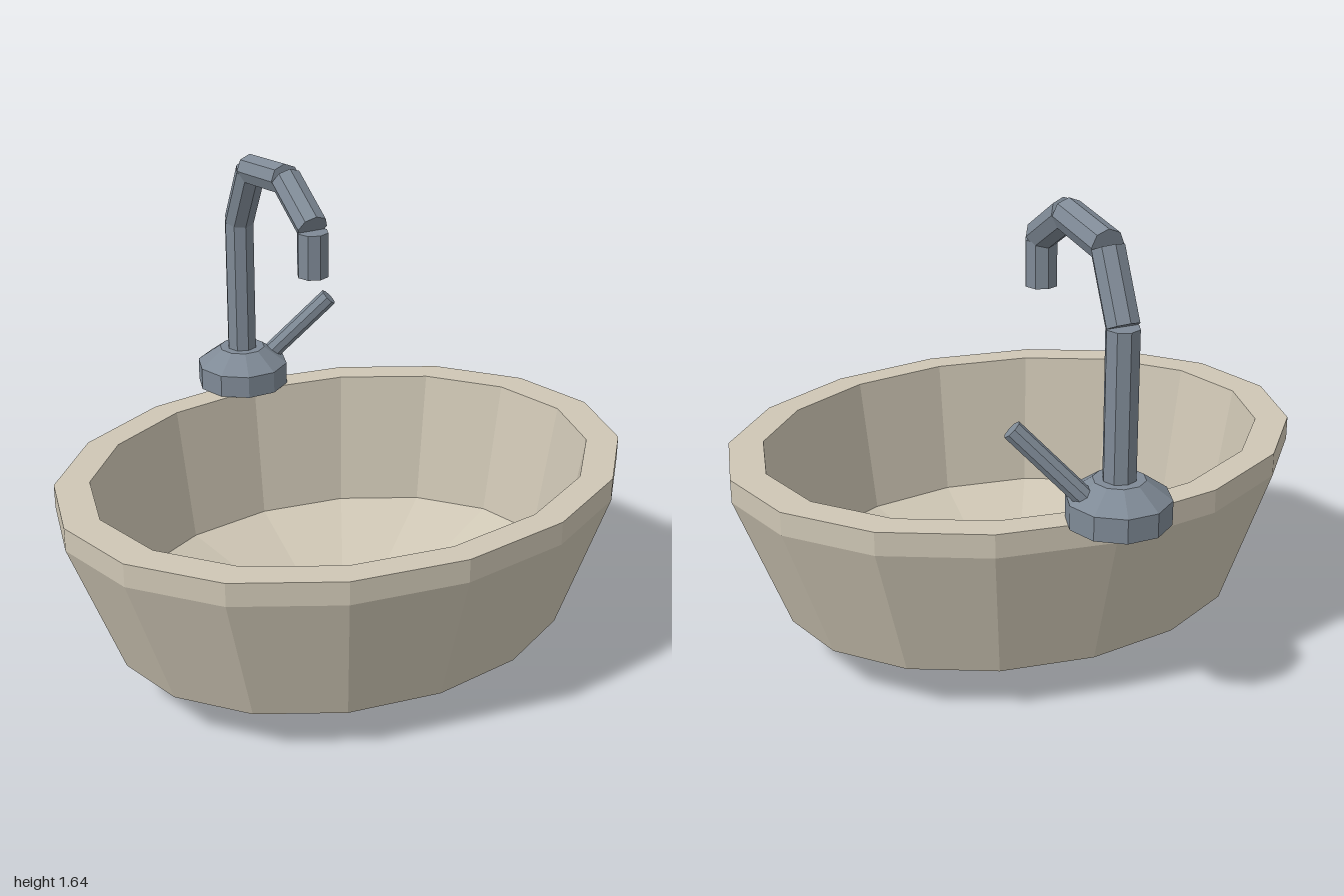
import * as THREE from 'three';

const ceramic = new THREE.MeshStandardMaterial({ color: 0xcfc7b5, flatShading: true });
ceramic.name = 'warm stone';
const metal = new THREE.MeshStandardMaterial({ color: 0x7f8a96, flatShading: true });
metal.name = 'blue grey metal';

const BASIN_Z = 0.08, TAP_Z = -0.7;

function add(parent, name, geometry, material) {
  const mesh = new THREE.Mesh(geometry, material);
  mesh.name = name;
  parent.add(mesh);
  return mesh;
}

// Ten-sided disc with corners on the x axis, standing on y
function disc(parent, name, rTop, rBottom, y, height, z) {
  const g = new THREE.CylinderGeometry(rTop, rBottom, height, 10, 1, false, Math.PI / 2);
  add(parent, name, g, metal).position.set(0, y + height / 2, z);
}

// Straight rod between two points
function rod(parent, name, a, b, radius) {
  const dir = b.clone().sub(a);
  const g = new THREE.CylinderGeometry(radius, radius, dir.length(), 8);
  const mesh = add(parent, name, g, metal);
  mesh.position.copy(a).add(b).multiplyScalar(0.5);
  mesh.quaternion.setFromUnitVectors(new THREE.Vector3(0, 1, 0), dir.normalize());
}

export function createModel() {
  const sink = new THREE.Group();
  sink.name = 'vesselSink';

  // Oval bowl: outside up, across the rim, down the inside
  const profile = [
    [0, 0], [0.48, 0], [0.82, 0.16], [1, 0.64], [1, 0.72],
    [0.88, 0.72], [0.8, 0.24], [0.4, 0.1], [0, 0.1],
  ].map(([r, y]) => new THREE.Vector2(r, y));
  const bowl = new THREE.LatheGeometry(profile, 16);
  bowl.scale(1, 1, 0.775);
  add(sink, 'bowl', bowl, ceramic).position.z = BASIN_Z;

  // Drain cover on the bowl floor
  disc(sink, 'drain', 0.106, 0.106, 0.09, 0.03, BASIN_Z);

  // Faucet base and sloped collar
  const faucet = new THREE.Group();
  faucet.name = 'faucet';
  sink.add(faucet);
  disc(faucet, 'faucetBase', 0.166, 0.166, 0.72, 0.08, TAP_Z);
  disc(faucet, 'faucetCollar', 0.083, 0.166, 0.8, 0.06, TAP_Z);

  // Column and segmented gooseneck, as [z, y] ends of each straight piece
  [
    ['column', [-0.7, 0.84], [-0.7, 1.342]],
    ['neckRise', [-0.7, 1.345], [-0.595, 1.555]],
    ['neckTop', [-0.595, 1.56], [-0.33, 1.59]],
    ['neckFall', [-0.325, 1.59], [-0.14, 1.475]],
    ['spoutTip', [-0.14, 1.463], [-0.14, 1.31]],
  ].forEach(([name, [z0, y0], [z1, y1]]) =>
    rod(faucet, name, new THREE.Vector3(0, y0, z0), new THREE.Vector3(0, y1, z1), 0.054));

  // Lever on the left, tilted up and forward
  rod(faucet, 'lever', new THREE.Vector3(0.1, 0.8, -0.7), new THREE.Vector3(0.308, 1.033, -0.593), 0.033);

  return sink;
}
